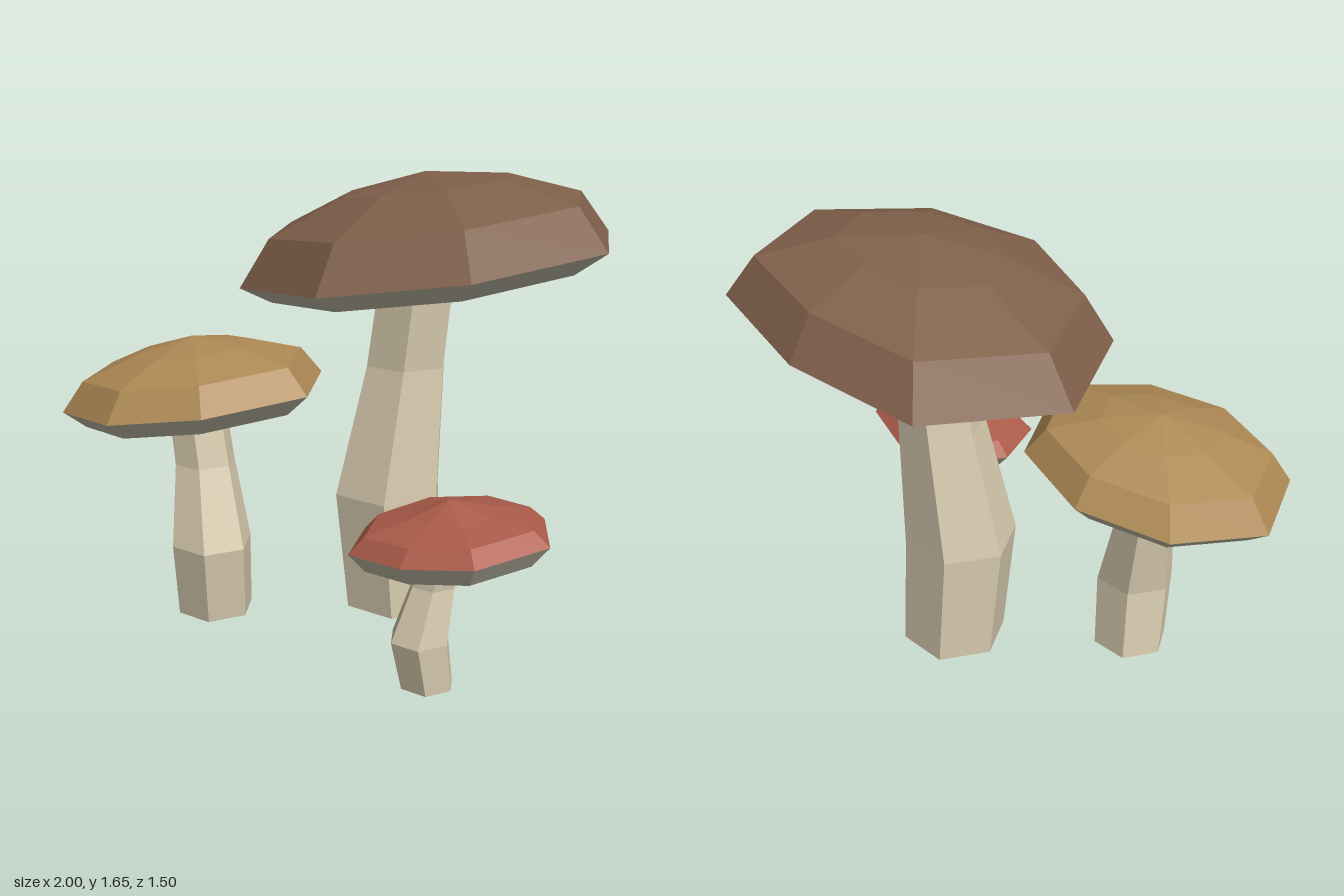
import * as THREE from 'three';

const mat = (name, color) => {
  const m = new THREE.MeshStandardMaterial({ color, flatShading: true });
  m.name = name;
  return m;
};

// Joins rings of points (listed from the bottom centre outwards and up) with flat faces.
// A ring of one point closes the surface.
function loft(name, rings, material) {
  const pos = [];
  for (let k = 0; k < rings.length - 1; k++) {
    const a = rings[k], b = rings[k + 1];
    const n = Math.max(a.length, b.length);
    const at = (r, i) => r[i % r.length];
    for (let i = 0; i < n; i++) {
      if (b.length > 1) pos.push(...at(a, i), ...at(b, i), ...at(b, i + 1));
      if (a.length > 1) pos.push(...at(a, i), ...at(b, i + 1), ...at(a, i + 1));
    }
  }
  const g = new THREE.BufferGeometry();
  g.setAttribute('position', new THREE.Float32BufferAttribute(pos, 3));
  g.computeVertexNormals();
  const mesh = new THREE.Mesh(g, material);
  mesh.name = name;
  return mesh;
}

// Hexagonal stem: levels are [x, y, z, radius]
function makeStem(levels, material) {
  const rings = levels.map(([x, y, z, r]) =>
    Array.from({ length: 6 }, (_, i) => {
      const t = (i * Math.PI) / 3;
      return [x + r * Math.cos(t), y, z + r * Math.sin(t)];
    }));
  const [x, y, z] = levels[0];
  return loft('stem', [[[x, y, z]], ...rings], material);
}

// Ring of an uneven eight-sided cap, sheared so the cap leans
function capRing({ centre: [cx, cy, cz], radii, lean: [lx, lz] }, scale, h) {
  if (scale === 0) return [[cx, cy + h, cz]];
  return radii.map((r, i) => {
    const t = (i * Math.PI) / 4;
    const dx = r * scale * Math.cos(t), dz = r * scale * Math.sin(t);
    return [cx + dx, cy + h + lx * dx + lz * dz, cz + dz];
  });
}

export function createModel() {
  const stemMat = mat('stem cream', 0xdacdb1);
  const gillMat = mat('gill grey', 0xcbc5b0);

  const mushrooms = [
    {
      name: 'tallMushroom', color: mat('cap brown', 0x80604a),
      centre: [0.195, 1.338, -0.17], lean: [0.132, -0.045],
      radii: [0.715, 0.67, 0.655, 0.665, 0.715, 0.69, 0.585, 0.69],
      heights: [0.16, 0.265, 0.315],
      stem: [[0.10, 0, -0.145, 0.2], [0.08, 0.46, -0.12, 0.215],
        [0.13, 0.95, -0.16, 0.16], [0.185, 1.38, -0.165, 0.15]],
    },
    {
      name: 'middleMushroom', color: mat('cap ochre', 0xae8954),
      centre: [-0.51, 0.837, 0.3], lean: [0.127, -0.04],
      radii: [0.53, 0.455, 0.45, 0.48, 0.49, 0.45, 0.44, 0.48],
      heights: [0.104, 0.17, 0.213],
      stem: [[-0.415, 0, 0.32, 0.145], [-0.398, 0.285, 0.35, 0.153],
        [-0.455, 0.58, 0.31, 0.115], [-0.5, 0.86, 0.305, 0.108]],
    },
    {
      name: 'smallMushroom', color: mat('cap red', 0xae5d4b),
      centre: [0.632, 0.544, 0.348], lean: [0.13, -0.045],
      radii: [0.368, 0.33, 0.292, 0.335, 0.33, 0.325, 0.305, 0.325],
      heights: [0.052, 0.08, 0.128],
      stem: [[0.57, 0, 0.37, 0.097], [0.558, 0.18, 0.4, 0.107],
        [0.585, 0.37, 0.36, 0.08], [0.625, 0.555, 0.35, 0.072]],
    },
  ];

  const model = new THREE.Group();
  model.name = 'mushroomCluster';
  for (const m of mushrooms) {
    const [h1, h2, h3] = m.heights;
    const ring = (scale, h) => capRing(m, scale, h);
    const group = new THREE.Group();
    group.name = m.name;
    group.add(
      makeStem(m.stem, stemMat),
      // hollow underside and sloping lip
      loft('gills', [ring(0, 0), ring(0.83, -0.07), ring(1, 0)], gillMat),
      // domed top
      loft('cap', [ring(1, 0), ring(0.84, h1), ring(0.44, h2), ring(0, h3)], m.color),
    );
    model.add(group);
  }
  return model;
}
